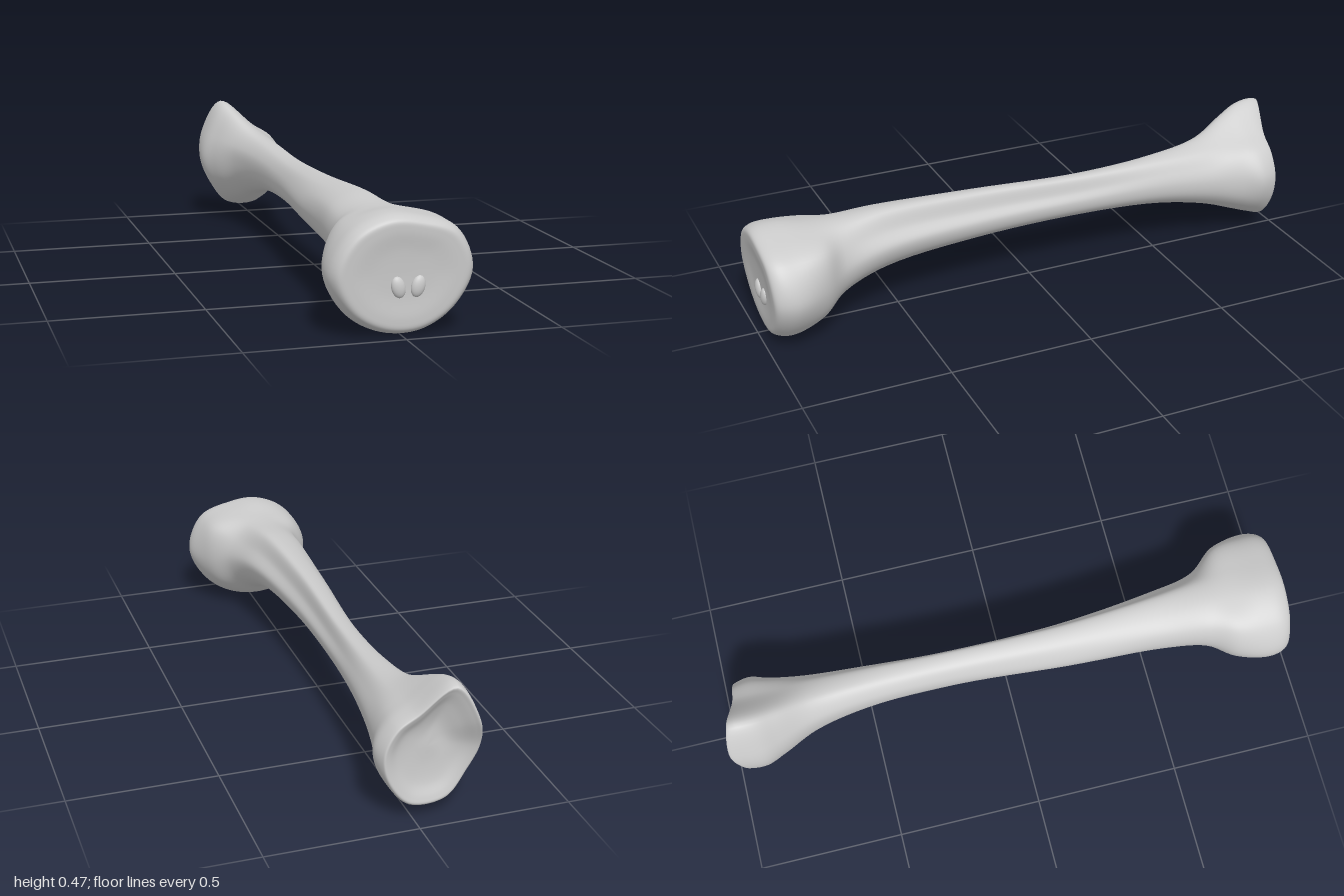
import * as THREE from 'three';
import { mergeVertices } from 'three/addons/utils/BufferGeometryUtils.js';

// Cross-sections along the shaft: z, centre x, centre y, then ten radii at 36 degree steps from +x
const WIDE_END = [0.9, 0, 0.19, 0.228, 0.216, 0.18, 0.188, 0.21, 0.229, 0.21, 0.196, 0.197, 0.207];
const NARROW_END = [-0.94, -0.045, 0.235, 0.15, 0.137, 0.137, 0.236, 0.18, 0.162, 0.157, 0.19, 0.195, 0.165];
const SHAFT = [
  [0.8, 0, 0.2, 0.187, 0.2, 0.165, 0.165, 0.195, 0.203, 0.19, 0.175, 0.17, 0.18],
  [0.71, -0.005, 0.22, 0.125, 0.125, 0.138, 0.14, 0.15, 0.145, 0.14, 0.128, 0.127, 0.125],
  [0.55, -0.02, 0.25, 0.1, 0.088, 0.118, 0.112, 0.115, 0.11, 0.11, 0.106, 0.105, 0.1],
  [0.2, -0.035, 0.255, 0.075, 0.066, 0.1, 0.09, 0.08, 0.08, 0.08, 0.08, 0.082, 0.078],
  [-0.2, -0.025, 0.255, 0.06, 0.056, 0.085, 0.077, 0.064, 0.06, 0.065, 0.071, 0.071, 0.065],
  [-0.5, -0.02, 0.255, 0.07, 0.07, 0.09, 0.092, 0.08, 0.072, 0.076, 0.086, 0.086, 0.077],
  [-0.7, -0.025, 0.245, 0.095, 0.092, 0.108, 0.13, 0.113, 0.1, 0.105, 0.118, 0.118, 0.106],
  [-0.82, -0.04, 0.24, 0.132, 0.125, 0.128, 0.19, 0.15, 0.137, 0.142, 0.158, 0.16, 0.147],
  [-0.89, -0.045, 0.235, 0.16, 0.143, 0.14, 0.226, 0.175, 0.162, 0.16, 0.178, 0.182, 0.168],
];
// End caps: scale of the last section and its z
const WIDE_CAP = [[0, 0.978], [0.4, 0.98], [0.75, 0.986], [0.9, 0.982], [0.98, 0.955]];
const NARROW_CAP = [[0.96, -0.95], [0.87, -0.947], [0.65, -0.932], [0.35, -0.925], [0, -0.925]];
// How far each of the ten lanes of the narrow rim projects backwards
const LIP = [0, 0, 0.005, 0.035, 0.055, 0.02, 0, 0, 0, 0];

function ring([, cx, cy, ...radii], scale, zOf) {
  return radii.map((r, k) => {
    const a = (k * Math.PI) / 5;
    const y = cy + r * scale * Math.sin(a);
    return new THREE.Vector3(cx + r * scale * Math.cos(a), y, zOf(k, y));
  });
}

function boneGeometry(steps = 6, around = 80) {
  const rings = [
    ...WIDE_CAP.map(([s, z]) => ring(WIDE_END, s, (k, y) => z + (y - 0.19) * 0.06)),
    ...[WIDE_END, ...SHAFT].map((sec) => ring(sec, 1, () => sec[0])),
    ring(NARROW_END, 1, (k) => NARROW_END[0] - LIP[k] * 0.4),
    ...NARROW_CAP.map(([s, z]) => ring(NARROW_END, s, (k) => z - LIP[k] * Math.max(0, (s - 0.35) / 0.6) * 0.9)),
  ];
  // Smooth lengthwise lanes, then a smooth closed loop at every step
  const lanes = LIP.map((_, k) => new THREE.CatmullRomCurve3(rings.map((r) => r[k])));
  const rows = (rings.length - 1) * steps;
  const pos = [];
  const index = [];
  for (let i = 0; i <= rows; i++) {
    const loop = new THREE.CatmullRomCurve3(lanes.map((l) => l.getPoint(i / rows)), true);
    for (let j = 0; j < around; j++) {
      pos.push(...loop.getPoint(j / around).toArray());
      if (i === rows) continue;
      const a = i * around + j;
      const b = i * around + ((j + 1) % around);
      index.push(a, a + around, b, b, a + around, b + around);
    }
  }
  const geo = new THREE.BufferGeometry();
  geo.setAttribute('position', new THREE.Float32BufferAttribute(pos, 3));
  geo.setIndex(index);
  const merged = mergeVertices(geo, 1e-5);
  merged.computeVertexNormals();
  return merged;
}

export function createModel() {
  const group = new THREE.Group();
  group.name = 'legBone';
  const material = new THREE.MeshStandardMaterial({ color: 0xcccccc });

  const bone = new THREE.Mesh(boneGeometry(), material);
  bone.name = 'boneBody';
  group.add(bone);

  // Twin low bumps in the middle of the wide joint face
  for (const [x, side] of [[-0.02, 'right'], [0.042, 'left']]) {
    const bump = new THREE.Mesh(new THREE.SphereGeometry(1, 20, 12), material);
    bump.name = side + 'JointBump';
    bump.scale.set(0.022, 0.034, 0.014);
    bump.position.set(x, 0.15, 0.977);
    bump.rotation.z = x < 0 ? 0.25 : -0.25;
    group.add(bump);
  }
  return group;
}
